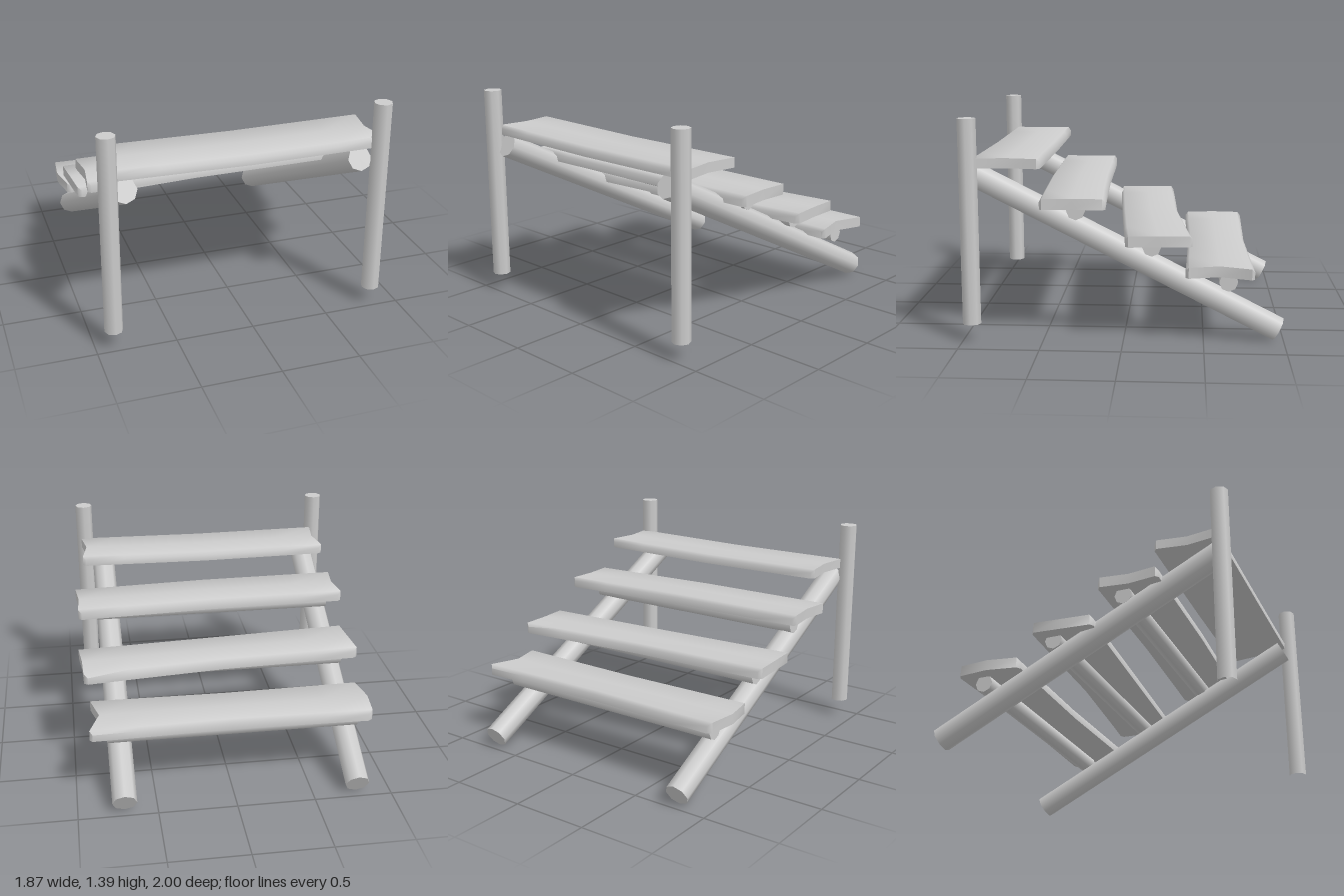
import * as THREE from 'three';
import { mergeVertices, toCreasedNormals } from 'three/addons/utils/BufferGeometryUtils.js';

const wood = new THREE.MeshStandardMaterial({ color: 0xcccccc });

// Eight-sided log running between two points
function log(name, radius, from, to, openBottom = false) {
  const a = new THREE.Vector3(...from), b = new THREE.Vector3(...to);
  const dir = b.clone().sub(a);
  const length = dir.length();
  const group = new THREE.Group();
  group.name = name;
  const bark = new THREE.Mesh(new THREE.CylinderGeometry(radius, radius, length, 8, 1, openBottom), wood);
  bark.name = name + 'Body';
  group.add(bark);
  if (openBottom) {
    const cap = new THREE.Mesh(new THREE.CircleGeometry(radius, 8), wood);
    cap.name = name + 'Cap';
    cap.rotation.x = -Math.PI / 2;
    cap.position.y = length / 2;
    group.add(cap);
  }
  group.position.copy(a).add(b).multiplyScalar(0.5);
  group.quaternion.setFromUnitVectors(new THREE.Vector3(0, 1, 0), dir.normalize());
  return group;
}

// Piecewise linear value through three points at t = -1, 0, 1
const bend = (p, t) => (t < 0 ? p[1] + (p[0] - p[1]) * -t : p[1] + (p[2] - p[1]) * t);

// Rough-cut plank: edges give z at left/middle/right, ends give x at back/middle/front
function plank({ name, back, front, low, high, bottom, thick = 0.068 }) {
  const geo = new THREE.BoxGeometry(2, 1, 2, 6, 1, 4);
  const pos = geo.attributes.position;
  for (let i = 0; i < pos.count; i++) {
    const u = pos.getX(i), top = pos.getY(i) > 0;
    let v = pos.getZ(i);
    const rim = Math.abs(v) > 0.99;
    if (!rim) v = Math.sign(v) * (Math.abs(v) > 0.1 ? 0.91 : 0);
    let x = THREE.MathUtils.lerp(bend(low, v), bend(high, v), (u + 1) / 2);
    if (rim && Math.abs(u) > 0.99) x -= Math.sign(u) * 0.025;
    const z = THREE.MathUtils.lerp(bend(back, u), bend(front, u), (v + 1) / 2);
    const y = bend(bottom, u) + (top ? thick - (rim ? 0.022 : 0) : 0);
    pos.setXYZ(i, x, y, z);
  }
  geo.deleteAttribute('normal');
  geo.deleteAttribute('uv');
  const mesh = new THREE.Mesh(toCreasedNormals(mergeVertices(geo, 1e-4), 1), wood);
  mesh.name = name;
  return mesh;
}

export function createModel() {
  const model = new THREE.Group();
  model.name = 'woodenStairs';

  // Upright posts and sloping stringers on each side
  for (const [side, postX, beamX] of [['left', 0.832, 0.707], ['right', -0.883, -0.782]]) {
    model.add(log(side + 'Post', 0.058, [postX, 0.12, 0.942], [postX, 1.4, 0.942], true));
    model.add(log(side + 'Stringer', 0.078, [beamX, 0.075, -0.965], [beamX, 1.037, 0.925]));
  }

  // Cross logs under the lower treads
  [[0.83, 0.292], [0.607, -0.175], [0.392, -0.65]].forEach(([y, z], i) => {
    model.add(log('crossLog' + (i + 1), 0.058, [-0.84, y, z], [0.79, y, z]));
  });

  // Treads, from the highest down
  const treads = [
    { back: [0.5, 0.5, 0.5], front: [0.92, 0.925, 0.925], bottom: [1.1, 1.09, 1.097], thick: 0.062,
      low: [-0.86, -0.83, -0.86], high: [0.865, 0.83, 0.865] },
    { back: [0.15, 0.135, 0.1], front: [0.55, 0.535, 0.5], bottom: [0.868, 0.868, 0.86],
      low: [-0.925, -0.9, -0.925], high: [0.92, 0.91, 0.93] },
    { back: [-0.285, -0.325, -0.425], front: [0.115, 0.05, -0.02], bottom: [0.632, 0.632, 0.637],
      low: [-0.935, -0.92, -0.905], high: [0.91, 0.915, 0.935] },
    { back: [-0.8, -0.78, -0.805], front: [-0.38, -0.4, -0.385], bottom: [0.436, 0.436, 0.436],
      low: [-0.905, -0.927, -0.89], high: [0.905, 0.83, 0.885] },
  ];
  treads.forEach((t, i) => model.add(plank({ name: 'tread' + (i + 1), ...t })));

  return model;
}
